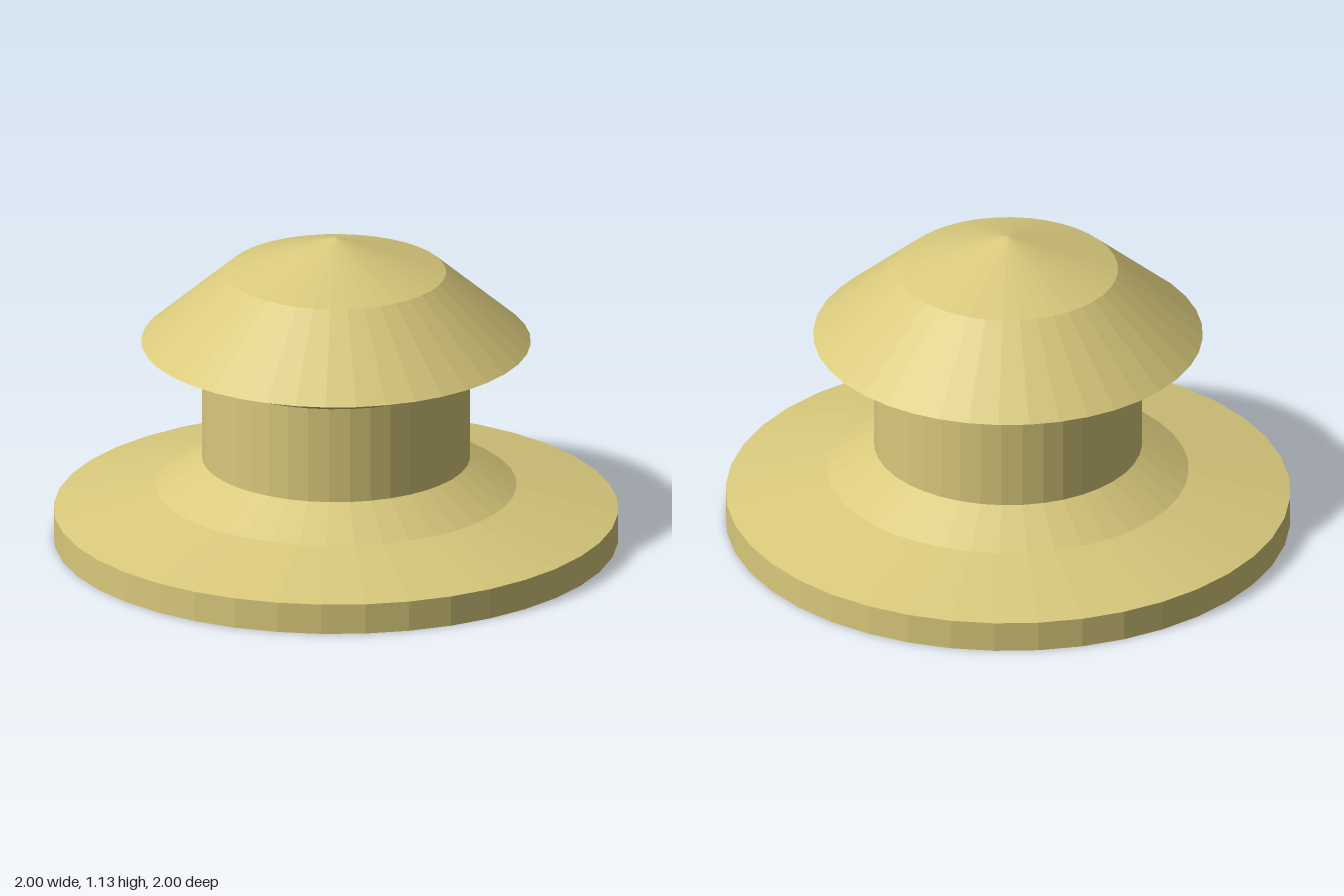
import * as THREE from 'three';

const SIDES = 40;

export function createModel() {
  const group = new THREE.Group();
  const material = new THREE.MeshStandardMaterial({
    color: 0xd9c97c, flatShading: true, side: THREE.DoubleSide,
  });

  // Each part is a thin shell turned around y, from [radius, height] points
  const turned = (name, profile) => {
    const points = profile.map(([r, y]) => new THREE.Vector2(r, y));
    const mesh = new THREE.Mesh(new THREE.LatheGeometry(points, SIDES), material);
    mesh.name = name;
    group.add(mesh);
  };

  // Open-bottomed flange with a rim and a two-step slope
  turned('baseFlange', [[1, 0], [1, 0.11], [0.64, 0.2], [0.475, 0.305]]);

  // Hollow neck, open at both ends
  turned('neck', [[0.475, 0.305], [0.475, 0.655]]);

  // Hollow cap: flared underside, sloping roof and shallow cone on top
  turned('cap', [[0.475, 0.655], [0.69, 0.74], [0.39, 1.0], [0, 1.13]]);

  return group;
}
